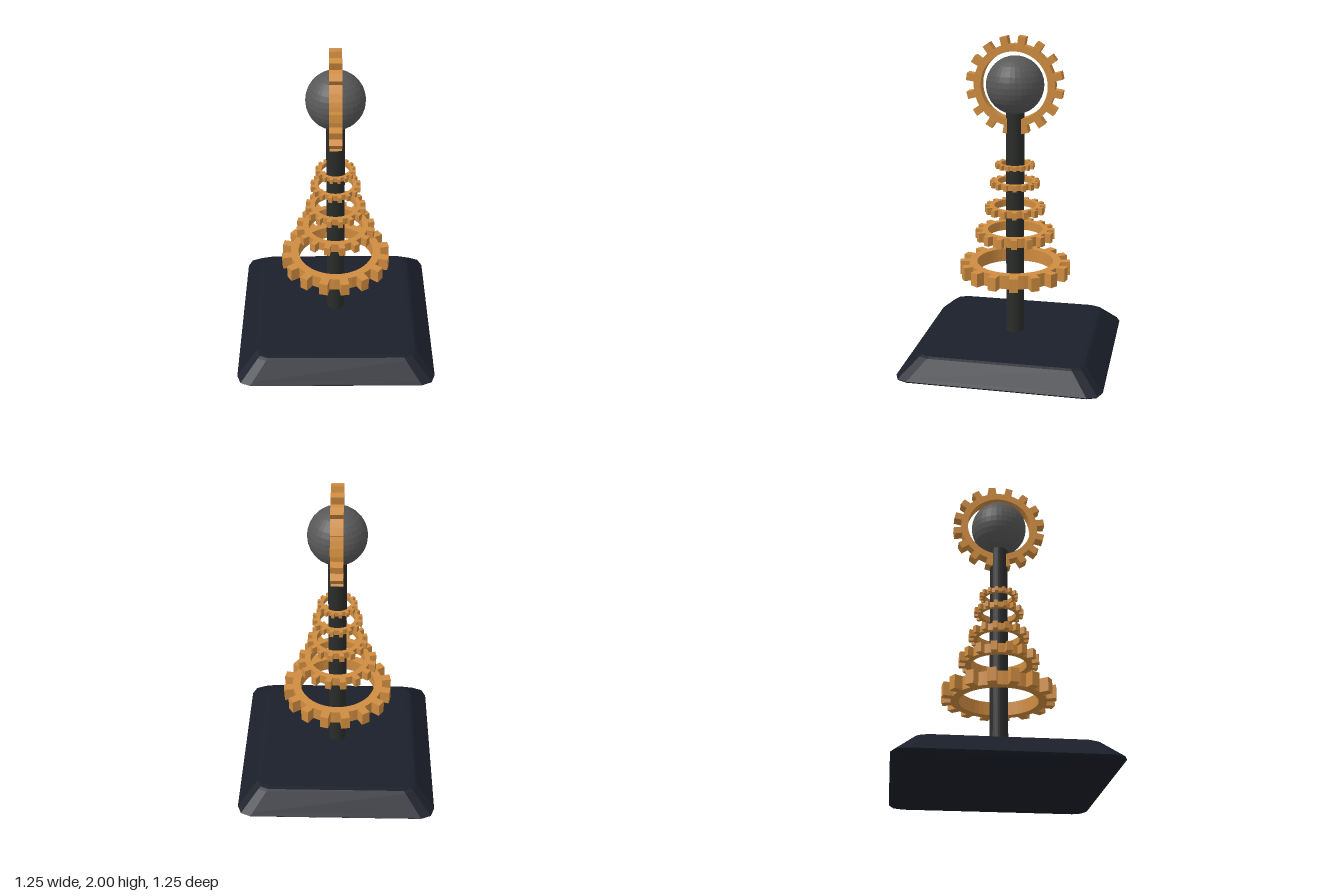
import * as THREE from 'three';

const mat = (color) => new THREE.MeshStandardMaterial({ color, flatShading: true });
const brass = mat(0xcf8c40);
const baseMat = mat(0x1b1f2a);
const postMat = mat(0x2a2c2a);
const ballMat = mat(0x585858);

// Spur gear ring with 16 straight teeth, lying in XY and centred on the origin
function gearGeometry(radius, thickness) {
  const teeth = 16, step = (Math.PI * 2) / teeth, phase = THREE.MathUtils.degToRad(13);
  const root = radius * 0.835, inner = radius * 0.69;
  const at = (r, a) => new THREE.Vector2(r * Math.cos(a), r * Math.sin(a));
  const outline = [], hole = [];
  for (let i = 0; i < teeth; i++) {
    const a = phase + i * step;
    outline.push(
      at(root, a - 0.09), at(radius, a - 0.077),
      at(radius, a + 0.077), at(root, a + 0.09),
      at(root, a + step / 2),
    );
    for (let k = 0; k < 3; k++) hole.push(at(inner, a + (k * step) / 3));
  }
  const shape = new THREE.Shape(outline);
  shape.holes.push(new THREE.Path(hole.reverse()));
  const geo = new THREE.ExtrudeGeometry(shape, { depth: thickness, bevelEnabled: false });
  return geo.translate(0, 0, -thickness / 2);
}

// Bevelled slab: rounded-square sections [half size, corner radius, y] joined in a loop
function slabGeometry(sections) {
  const corners = [[1, 1], [-1, 1], [-1, -1], [1, -1]];
  const seg = 2, n = 4 * (seg + 1), pos = [], idx = [];
  for (const [half, r, y] of sections) {
    corners.forEach(([sx, sz], c) => {
      for (let k = 0; k <= seg; k++) {
        const a = (c + k / seg) * Math.PI / 2;
        pos.push(sx * (half - r) + r * Math.cos(a), y, sz * (half - r) + r * Math.sin(a));
      }
    });
  }
  for (let s = 0; s < sections.length - 1; s++) {
    for (let i = 0; i < n; i++) {
      const a = s * n + i, b = s * n + (i + 1) % n;
      idx.push(a, a + n, b, b, a + n, b + n);
    }
  }
  const top = (sections.length - 1) * n;
  for (let i = 1; i < n - 1; i++) {
    idx.push(0, i, i + 1);
    idx.push(top, top + i + 1, top + i);
  }
  const geo = new THREE.BufferGeometry();
  geo.setAttribute('position', new THREE.Float32BufferAttribute(pos, 3));
  geo.setIndex(idx);
  geo.computeVertexNormals();
  return geo;
}

export function createModel() {
  const group = new THREE.Group();
  const add = (name, geometry, material, y) => {
    const mesh = new THREE.Mesh(geometry, material);
    mesh.name = name;
    mesh.position.y = y;
    group.add(mesh);
    return mesh;
  };

  // Base plate and post
  add('base', slabGeometry([
    [0.595, 0.06, 0], [0.618, 0.08, 0.006], [0.625, 0.085, 0.015], [0.61, 0.085, 0.03],
    [0.515, 0.075, 0.123], [0.5, 0.07, 0.132], [0.475, 0.05, 0.135],
  ]), baseMat, 0);
  add('post', new THREE.CylinderGeometry(0.056, 0.056, 1.54, 32), postMat, 0.85);

  // Ball on top of the post
  add('ball', new THREE.SphereGeometry(0.175, 32, 16), ballMat, 1.71);

  // Tapering stack of horizontal gears: [height, radius, thickness]
  const stack = [
    [0.558, 0.345, 0.085], [0.78, 0.246, 0.058], [0.943, 0.187, 0.044],
    [1.104, 0.154, 0.036], [1.218, 0.122, 0.029],
  ];
  stack.forEach(([y, r, t], i) => {
    add(`stackGear${i + 1}`, gearGeometry(r, t).rotateX(Math.PI / 2), brass, y);
  });

  // Upright gear around the ball
  add('uprightGear', gearGeometry(0.295, 0.074).rotateY(Math.PI / 2), brass, 1.71);

  return group;
}
